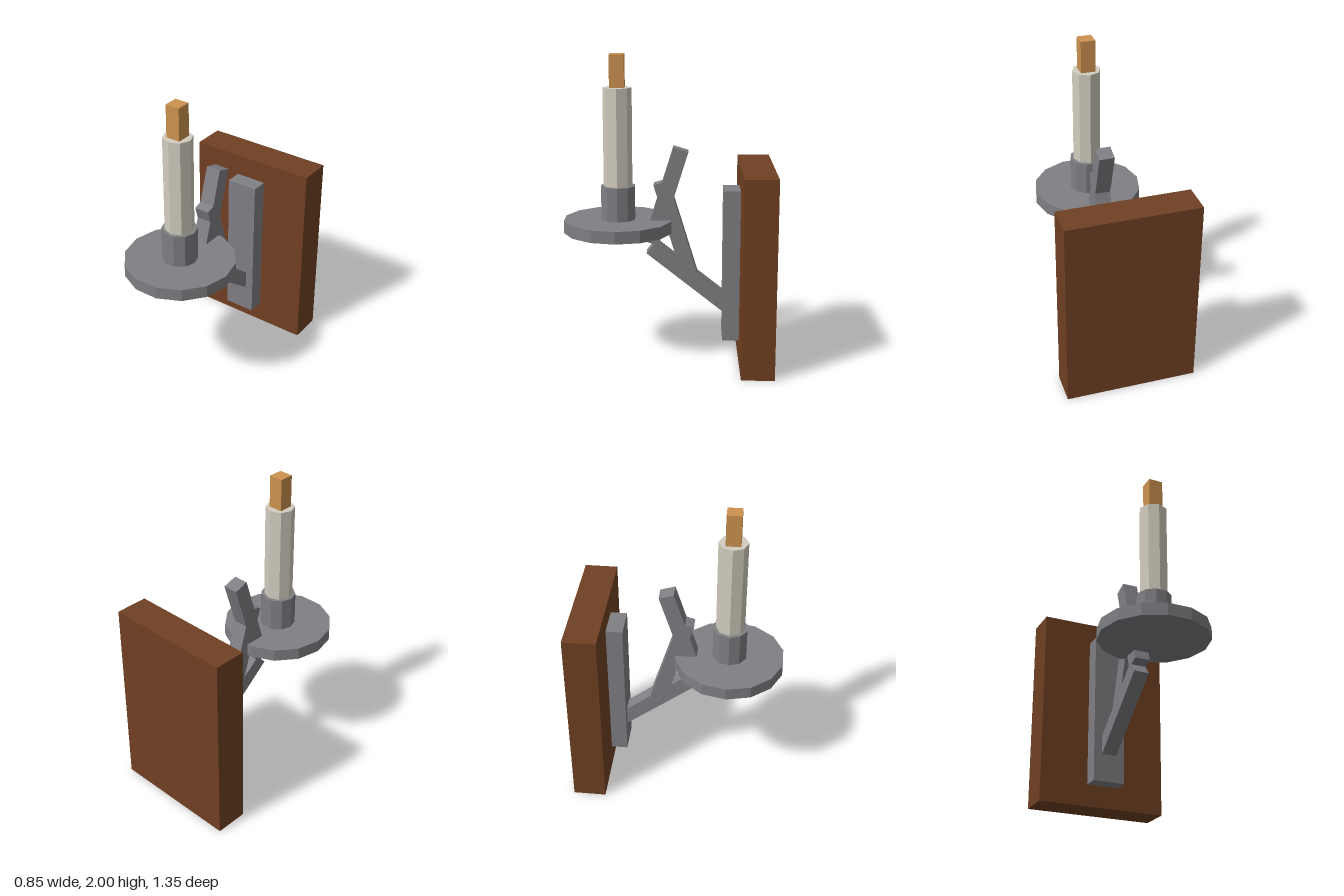
import * as THREE from 'three';

const material = (name, color) => {
  const m = new THREE.MeshStandardMaterial({ color, flatShading: true });
  m.name = name;
  return m;
};

export function createModel() {
  const group = new THREE.Group();
  const wood = material('wood', 0x704022);
  const metal = material('metal', 0x7f7f84);
  const wax = material('wax', 0xd2cdbf);
  const flameColor = material('flame', 0xcc9250);

  const add = (name, geometry, mat, x, y, z) => {
    const mesh = new THREE.Mesh(geometry, mat);
    mesh.name = name;
    mesh.position.set(x, y, z);
    group.add(mesh);
    return mesh;
  };

  // Box given by its y and z ranges, centred on x
  const box = (name, mat, width, y0, y1, z0, z1) =>
    add(name, new THREE.BoxGeometry(width, y1 - y0, z1 - z0), mat, 0, (y0 + y1) / 2, (z0 + z1) / 2);

  // Square bar between two points in the side plane
  const bar = (name, z0, y0, z1, y1) => {
    const length = Math.hypot(z1 - z0, y1 - y0);
    const mesh = add(name, new THREE.BoxGeometry(0.1, length, 0.1), metal, 0, (y0 + y1) / 2, (z0 + z1) / 2);
    mesh.rotation.x = Math.atan2(z1 - z0, y1 - y0);
  };

  // Upright prism on the candle axis, with a corner pointing along x
  const candleZ = 0.325;
  const prism = (name, mat, radius, sides, y0, y1) =>
    add(name, new THREE.CylinderGeometry(radius, radius, y1 - y0, sides, 1, false, Math.PI / 2),
      mat, 0, (y0 + y1) / 2, candleZ);

  // Wall mount
  box('wallBoard', wood, 0.854, 0, 1.287, -0.675, -0.462);
  box('backPlate', metal, 0.21, 0.145, 1.144, -0.462, -0.354);

  // Bent arm
  bar('lowerArm', -0.41, 0.346, 0.111, 0.759);
  bar('middleArm', -0.143, 0.564, 0.048, 1.185);
  bar('upperArm', 0.111, 0.787, -0.079, 1.4);

  // Drip tray, socket, candle and flame
  prism('dripTray', metal, 0.355, 14, 0.861, 0.941);
  prism('socket', metal, 0.113, 10, 0.941, 1.16);
  prism('candle', wax, 0.0925, 8, 1.16, 1.79);
  box('flame', flameColor, 0.094, 1.79, 2, candleZ - 0.047, candleZ + 0.047);

  return group;
}
